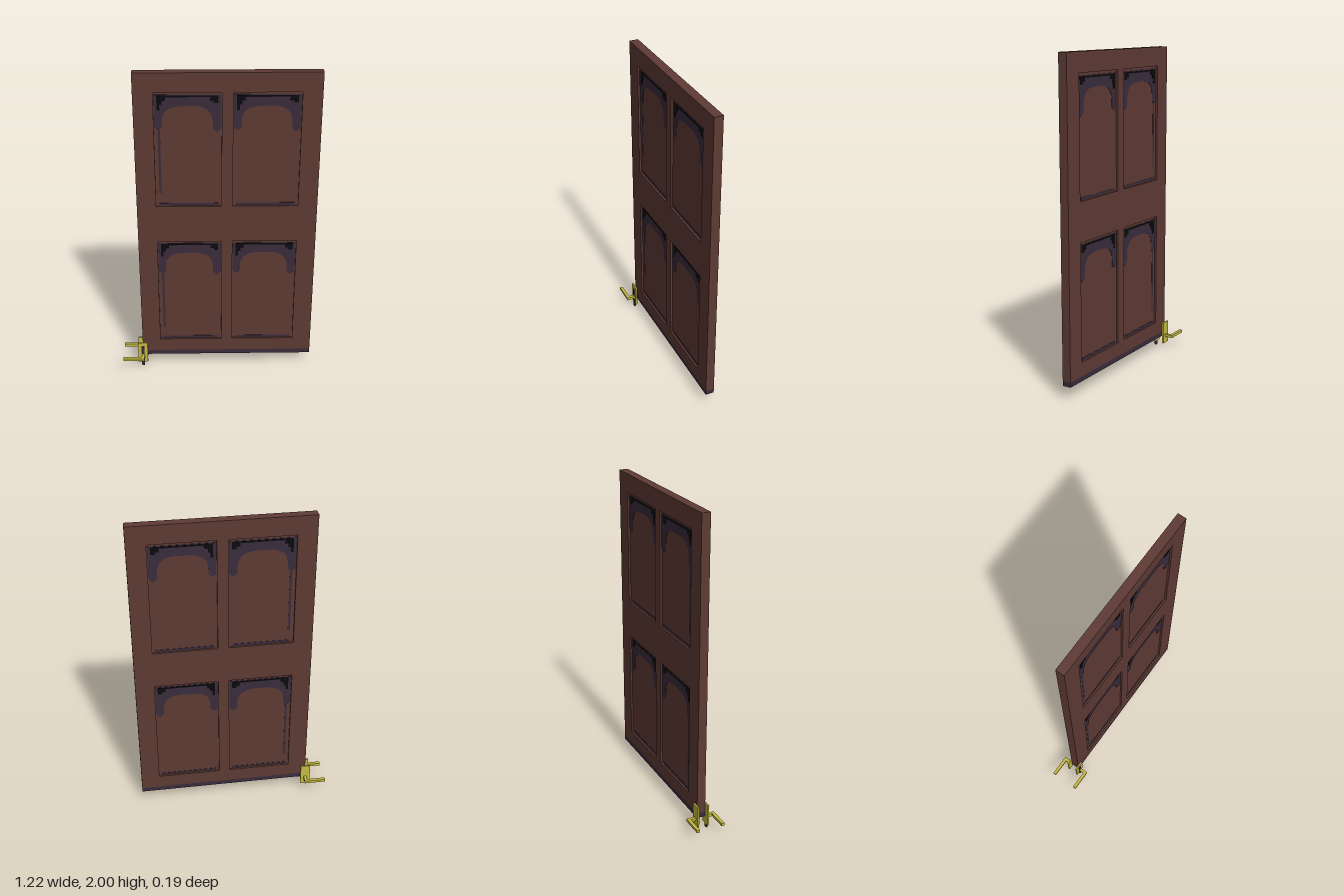
import * as THREE from 'three';

export function createModel() {
  const mat = (name, color) => {
    const m = new THREE.MeshStandardMaterial({ color });
    m.name = name;
    return m;
  };
  const wood = mat('redBrownWood', 0x5f3b35);
  const purple = mat('darkPurple', 0x3a2c3c);
  const black = mat('black', 0x0b0a0c);
  const brass = mat('brass', 0xc6bc42);

  const model = new THREE.Group();
  model.name = 'door';

  // Box given by its limits on each axis
  const box = (name, material, x0, x1, y0, y1, z0, z1, parent = model) => {
    const mesh = new THREE.Mesh(new THREE.BoxGeometry(x1 - x0, y1 - y0, z1 - z0), material);
    mesh.position.set((x0 + x1) / 2, (y0 + y1) / 2, (z0 + z1) / 2);
    mesh.name = name;
    parent.add(mesh);
  };
  // Thin plate cut from an outline, centred on depth z
  const plate = (name, material, shape, x, y, z, depth, parent = model) => {
    const geo = new THREE.ExtrudeGeometry(shape, { depth, bevelEnabled: false, curveSegments: 8 });
    const mesh = new THREE.Mesh(geo, material);
    mesh.position.set(x, y, z - depth / 2);
    mesh.name = name;
    parent.add(mesh);
  };
  const outline = (pts) => new THREE.Shape(pts.map(([x, y]) => new THREE.Vector2(x, y)));
  const rect = (x0, x1, y0, y1) => outline([[x0, y0], [x1, y0], [x1, y1], [x0, y1]]);

  const L = -0.483, R = 0.608, B = 0.08, T = 2, back = -0.03, front = 0.025;
  const W = 0.395, H = 0.722, recess = 0.012;
  const columns = [-0.366, 0.096], rows = [0.197, 1.16];

  // Frame with four openings, above the dark bottom rail
  const frame = rect(L, R, B + 0.03, T);
  for (const x of columns) for (const y of rows) frame.holes.push(rect(x, x + W, y, y + H));
  plate('frame', wood, frame, 0, 0, (front + back) / 2, front - back);
  box('bottomRail', purple, L, R, B, B + 0.03, back, front);

  // Arched ornament, measured from the top left corner of a panel
  const arch = new THREE.Shape();
  arch.moveTo(0.003, -0.015);
  arch.lineTo(0.003, -0.215);
  arch.lineTo(0.025, -0.235);
  arch.lineTo(0.048, -0.215);
  arch.lineTo(0.05, -0.165);
  arch.bezierCurveTo(0.052, -0.11, 0.1, -0.085, 0.165, -0.085);
  arch.lineTo(0.235, -0.085);
  arch.bezierCurveTo(0.3, -0.085, 0.34, -0.12, 0.342, -0.175);
  arch.lineTo(0.344, -0.225);
  arch.lineTo(0.368, -0.245);
  arch.lineTo(0.392, -0.22);
  arch.lineTo(0.392, -0.015);
  arch.closePath();

  // Black corner shadows in steps, joined by a thin line
  const corners = outline([
    [0.02, -0.02], [0.375, -0.02], [0.375, -0.066], [0.348, -0.066], [0.348, -0.052], [0.327, -0.052],
    [0.327, -0.03], [0.07, -0.03], [0.07, -0.052], [0.05, -0.052], [0.05, -0.075], [0.036, -0.075],
    [0.036, -0.108], [0.02, -0.108],
  ]);

  columns.forEach((x, col) => rows.forEach((y) => {
    const panel = new THREE.Group();
    panel.name = 'panel';
    model.add(panel);
    const top = y + H;
    box('panelBoard', wood, x, x + W, y, top, back + recess, front - recess, panel);
    for (const [z, s] of [[front - recess, 1], [back + recess, -1]]) {
      plate('archOrnament', purple, arch, x, top, z + s * 0.001, 0.002, panel);
      plate('archCorners', black, corners, x, top, z + s * 0.002, 0.004, panel);
      box('lowerMoulding', purple, x + 0.02, x + W - 0.02, y + 0.005, y + 0.018, z - 0.002, z + 0.002, panel);
      if (col === 0) {
        box('sideMoulding', purple, x + 0.022, x + 0.036, y + 0.085, top - 0.22, z - 0.001, z + 0.001, panel);
      }
    }
  }));

  // Lever handles on both faces
  for (const [face, s] of [[front, 1], [back, -1]]) {
    const handle = new THREE.Group();
    handle.name = s > 0 ? 'frontHandle' : 'backHandle';
    model.add(handle);
    const span = (name, x0, x1, y0, y1, a, b) => {
      const za = face + s * a, zb = face + s * b;
      box(name, brass, x0, x1, y0, y1, Math.min(za, zb), Math.max(za, zb), handle);
    };
    span('handlePlate', -0.515, -0.452, 0.028, 0.172, 0.001, 0.011);
    span('handleStem', -0.491, -0.472, 0.07, 0.088, 0.011, 0.066);
    span('handleLever', -0.61, -0.491, 0.07, 0.088, 0.046, 0.066);
  }

  // Dark bolt strip hanging over the front handle plate
  box('boltStrip', purple, -0.492, -0.474, 0, 0.145, 0.029, 0.04);
  return model;
}
